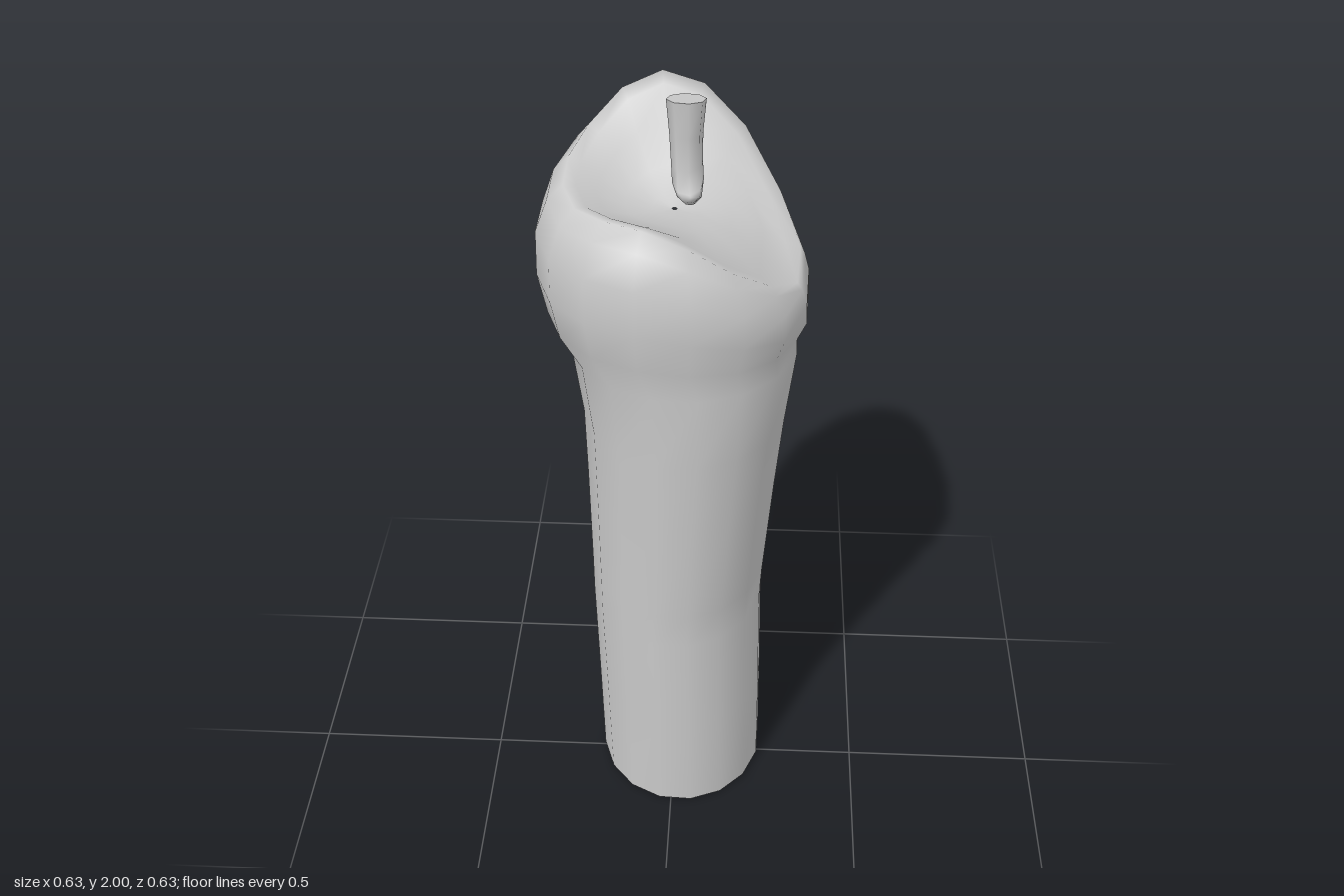
import * as THREE from 'three';

const SIDES = 16;
const wax = new THREE.MeshStandardMaterial({ color: 0xcccccc });

// Skin a stack of equal-length rings (counter-clockwise seen from above, bottom to top).
function loft(rings) {
  const n = rings[0].length, pos = [], index = [];
  rings.forEach(r => r.forEach(p => pos.push(p.x, p.y, p.z)));
  for (let i = 0; i < rings.length - 1; i++) {
    for (let k = 0; k < n; k++) {
      const a = i * n + k, b = i * n + (k + 1) % n;
      index.push(a, b, b + n, a, b + n, a + n);
    }
  }
  return finish(pos, index);
}

// Flat fan that closes one ring.
function cap(ring, up) {
  const c = new THREE.Vector3();
  ring.forEach(p => c.addScaledVector(p, 1 / ring.length));
  const pos = [c.x, c.y, c.z], index = [];
  ring.forEach((p, k) => {
    pos.push(p.x, p.y, p.z);
    const a = k + 1, b = (k + 1) % ring.length + 1;
    if (up) index.push(0, a, b); else index.push(0, b, a);
  });
  return finish(pos, index);
}

function finish(pos, index) {
  const g = new THREE.BufferGeometry();
  g.setAttribute('position', new THREE.Float32BufferAttribute(pos, 3));
  g.setIndex(index);
  g.computeVertexNormals();
  return g;
}

function ring(n, fn) {
  return Array.from({ length: n }, (_, k) => {
    const a = (9 + k * 360 / n) * Math.PI / 180;
    return fn(Math.sin(a), Math.cos(a), k);
  });
}

function add(group, name, geometry) {
  const m = new THREE.Mesh(geometry, wax);
  m.name = name;
  group.add(m);
}

export function createModel() {
  const model = new THREE.Group();
  model.name = 'candle';

  // Slightly bent shaft: height, centre x, centre z, radius x, radius z
  const shaft = [
    [0.01, 0.02, -0.04, 0.22, 0.24],
    [0.30, 0.015, -0.04, 0.222, 0.254],
    [0.60, 0.008, -0.038, 0.223, 0.268],
    [0.70, 0.01, -0.04, 0.226, 0.275],
    [1.00, 0.02, -0.018, 0.238, 0.277],
    [1.20, 0.027, -0.004, 0.248, 0.28],
    [1.40, 0.026, 0.01, 0.272, 0.28],
  ];
  const body = shaft.map(([y, cx, cz, rx, rz], i) => ring(SIDES, (s, c) =>
    new THREE.Vector3(cx + s * rx, y - (i === 0 ? c * 0.01 : 0), cz + c * rz)));

  // Uneven crest heights around the melted rim, from the front towards +x
  const crest = [1.77, 1.70, 1.635, 1.59, 1.62, 1.71, 1.84, 1.93,
    1.96, 1.93, 1.87, 1.83, 1.81, 1.80, 1.81, 1.81];
  const base = 1.4, floor = 1.735;
  const crestRadius = s => 0.25 + 0.045 * Math.max(0, s) ** 2;

  // Bulging head: fraction of the way up to the crest, radius
  for (const [t, r] of [[0.2, 0.298], [0.45, 0.319], [0.72, 0.317], [0.91, 0.288]]) {
    body.push(ring(SIDES, (s, c, k) => {
      const rr = Math.max(r, t > 0.9 ? crestRadius(s) + 0.012 : 0);
      return new THREE.Vector3(s * rr, base + (crest[k] - base) * t, c * rr);
    }));
  }

  // Rim and melted hollow: fraction of crest radius, fraction of crest height over the floor
  for (const [f, h] of [[1, 1], [0.88, 0.91], [0.7, 0.58], [0.45, 0.24], [0.2, 0.06], [0.02, 0]]) {
    body.push(ring(SIDES, (s, c, k) => {
      const r = crestRadius(s) * f;
      return new THREE.Vector3(s * r, floor + (crest[k] - floor) * h, c * r);
    }));
  }
  add(model, 'waxBody', loft(body));
  add(model, 'waxBase', cap(body[0], false));

  // Curved wick: height, centre x, centre z, radius, forward tilt of the ring
  const wickRings = [
    [1.755, 0.035, 0.012, 0.012, 0.01],
    [1.77, 0.034, 0.008, 0.028, 0.012],
    [1.80, 0.03, -0.012, 0.036, -0.02],
    [1.84, 0.027, -0.026, 0.036, -0.01],
    [1.91, 0.025, -0.028, 0.038, 0],
    [1.992, 0.025, -0.025, 0.045, 0.008],
  ].map(([y, cx, cz, r, tilt]) => ring(8, (s, c) =>
    new THREE.Vector3(cx + s * r, y + c * tilt, cz + c * r)));
  const wick = new THREE.Group();
  wick.name = 'wick';
  add(wick, 'wickStem', loft(wickRings));
  add(wick, 'wickTop', cap(wickRings[wickRings.length - 1], true));
  add(wick, 'wickFoot', cap(wickRings[0], false));
  model.add(wick);

  return model;
}
